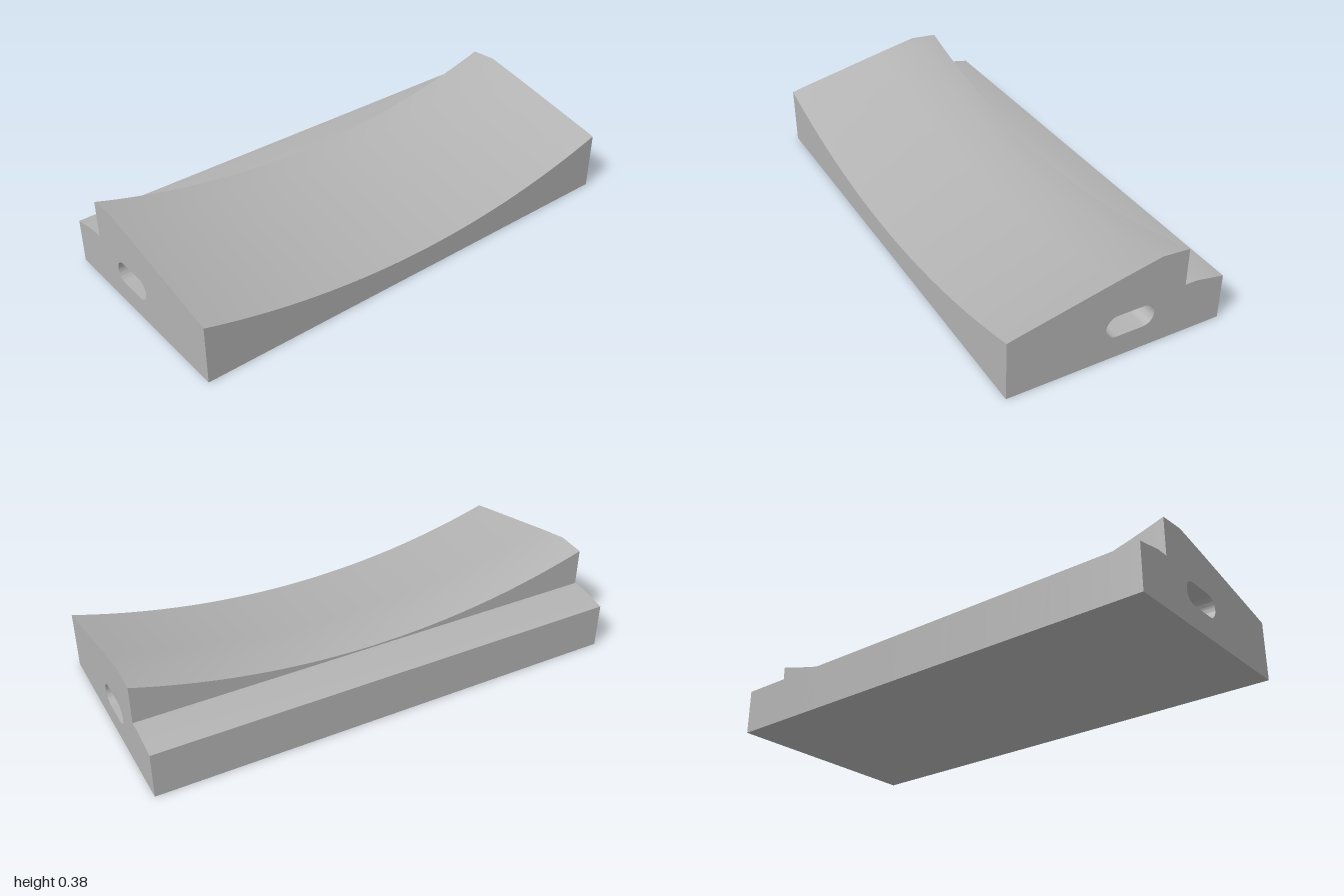
import * as THREE from 'three';
import { toCreasedNormals } from 'three/addons/utils/BufferGeometryUtils.js';

const HALF_LENGTH = 1;
const ARC_CENTRE_Y = 3.59; // height of the axis the hollow top is swept around

export function createModel() {
  const group = new THREE.Group();
  const grey = new THREE.MeshStandardMaterial({ color: 0xb3b3b3 });
  grey.name = 'grey';

  // End profile, drawn from front (negative) to back (positive)
  const profile = new THREE.Shape([
    [-0.4545, 0], [0.4545, 0],
    [0.4545, 0.193], [0.335, 0.215], [0.282, 0.215], // rear ledge
    [0.282, 0.374], [0.165, 0.382],                  // ridge
    [0, 0.348], [-0.2, 0.304], [-0.4, 0.26], [-0.4545, 0.247], // sloping top
  ].map(([a, b]) => new THREE.Vector2(a, b)));

  // Rounded slot running through the whole length
  const slot = new THREE.Path();
  slot.absarc(0.105, 0.14, 0.047, -Math.PI / 2, Math.PI / 2, false);
  slot.absarc(-0.006, 0.14, 0.047, Math.PI / 2, Math.PI * 1.5, false);
  slot.closePath();
  profile.holes.push(slot);

  const geometry = new THREE.ExtrudeGeometry(profile, {
    depth: 2 * HALF_LENGTH, steps: 48, curveSegments: 16, bevelEnabled: false,
  });
  geometry.translate(0, 0, -HALF_LENGTH);
  geometry.rotateY(Math.PI / 2);

  // Sink the top points along circular arcs towards the middle
  const pos = geometry.attributes.position;
  for (let i = 0; i < pos.count; i++) {
    const x = pos.getX(i), y = pos.getY(i);
    if (y < 0.23) continue;
    const drop = ARC_CENTRE_Y - y;
    pos.setY(i, ARC_CENTRE_Y - Math.sqrt(drop * drop + HALF_LENGTH ** 2 - x * x));
  }

  const body = new THREE.Mesh(toCreasedNormals(geometry, 0.5), grey);
  body.name = 'curvedBlock';
  group.add(body);
  return group;
}
